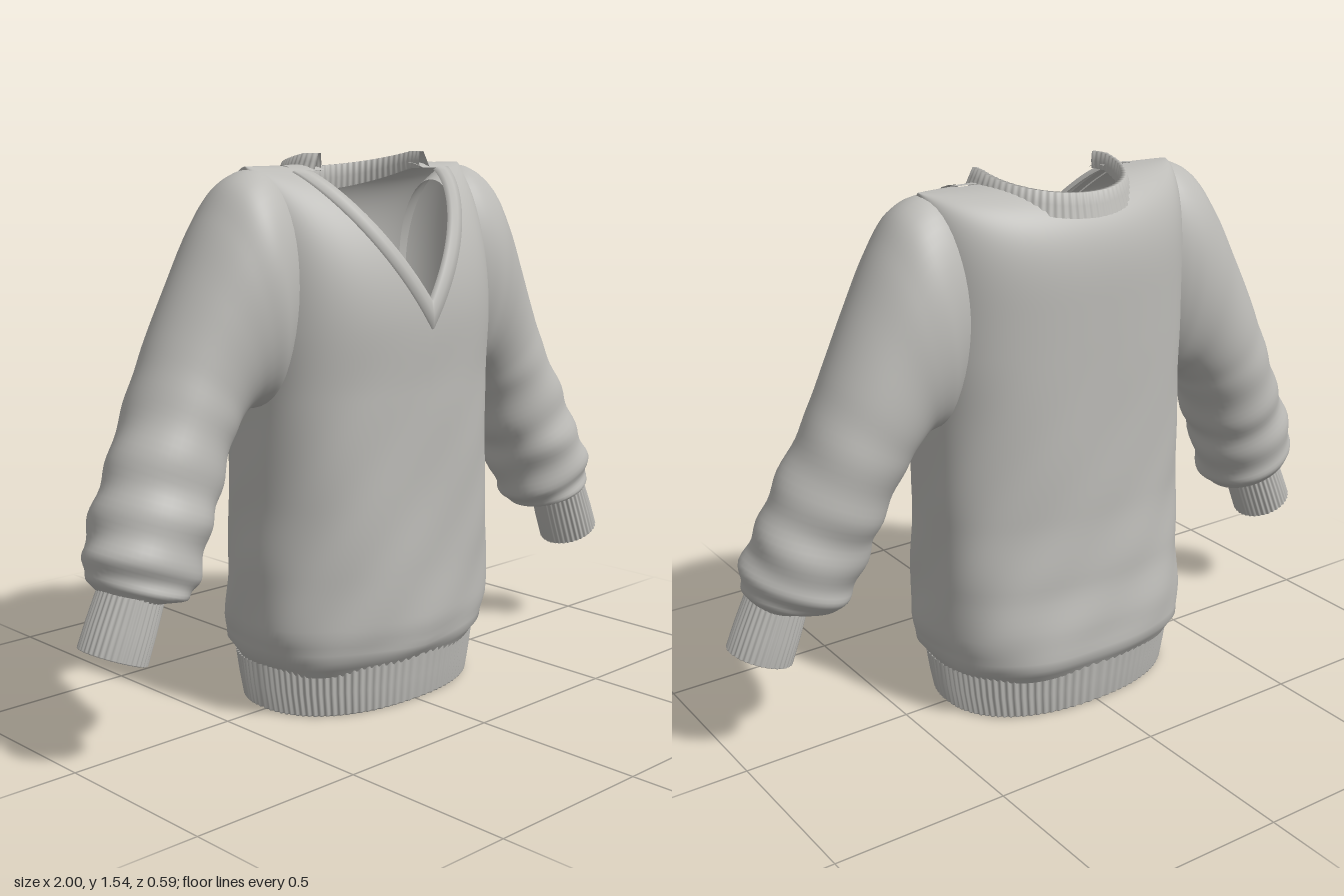
import * as THREE from 'three';

const { sin, cos, abs, sqrt, pow, min, max, PI } = Math;
const wool = new THREE.MeshStandardMaterial({ color: 0xbcbbb7, side: THREE.DoubleSide });
wool.name = 'grey wool';

// Smooth surface from fn(u, v) -> [x, y, z]; closed joins the last column to the first.
function surface(name, fn, nu, nv, closed = false) {
  const pos = [], idx = [], cols = closed ? nu : nu + 1;
  for (let j = 0; j <= nv; j++)
    for (let i = 0; i < cols; i++) pos.push(...fn(i / nu, j / nv));
  for (let j = 0; j < nv; j++)
    for (let i = 0; i < nu; i++) {
      const a = j * cols + i, b = j * cols + (i + 1) % cols;
      idx.push(a, b, b + cols, a, b + cols, a + cols);
    }
  const geo = new THREE.BufferGeometry();
  geo.setAttribute('position', new THREE.Float32BufferAttribute(pos, 3));
  geo.setIndex(idx);
  geo.computeVertexNormals();
  const mesh = new THREE.Mesh(geo, wool);
  mesh.name = name;
  return mesh;
}

// Torso sections: height, half width, front depth, back depth
const SECTIONS = [
  [0.12, 0.37, 0.245, 0.26], [0.17, 0.402, 0.276, 0.29], [0.25, 0.418, 0.285, 0.285],
  [0.40, 0.415, 0.283, 0.265], [0.60, 0.408, 0.282, 0.252], [0.90, 0.405, 0.284, 0.25],
  [1.08, 0.41, 0.29, 0.25],
];
const RIDGE = 1.51;

function section(y) {
  const last = SECTIONS.length - 1;
  if (y >= SECTIONS[last][0]) return SECTIONS[last];
  let k = 0;
  while (k < last - 1 && y > SECTIONS[k + 1][0]) k++;
  const p = SECTIONS[k], q = SECTIONS[k + 1];
  const t = THREE.MathUtils.smoothstep(y, p[0], q[0]);
  return p.map((value, i) => value + (q[i] - value) * t);
}

const bulge = f => pow(max(0, 1 - pow(abs(f), 2.5)), 0.4);
const roundOff = (y, from, n) =>
  y <= from ? 1 : pow(max(0, 1 - pow((y - from) / (RIDGE - from), n)), 1 / n);
const frontZ = (x, y) => section(y)[2] * bulge(x / section(y)[1]) * roundOff(y, 1.08, 2);

// Height at which each torso column ends: the V in front, a round neck at the back
function columnTop(f, isFront) {
  const x = abs(f) * 0.41;
  if (isFront) return min(RIDGE, 1.1 + 1.45 * x);
  if (x >= 0.2) return RIDGE;
  const c = min(1, sqrt(0.04 - x * x) / (0.25 * bulge(f)));
  return 1.2 + (RIDGE - 1.2) * pow(1 - c ** 3, 1 / 3);
}

function torso() {
  return surface('torso', (u, v) => {
    const th = u * 2 * PI, f = sin(th), isFront = cos(th) >= 0;
    const y = 0.12 + (columnTop(f, isFront) - 0.12) * sin(v * PI / 2);
    const [, a, zf, zb] = section(y);
    const z = bulge(f) * (isFront ? zf * roundOff(y, 1.08, 2) : -zb * roundOff(y, 1.2, 3));
    // soft folds, fading out towards the neck
    const fade = max(0, 1 - y / 1.1);
    const fold = 1 + fade * (0.012 * sin(th * 5 + y * 7) + 0.008 * sin(th * 9 - y * 22));
    return [a * f * fold, y, z * fold];
  }, 144, 90, true);
}

// Ribbed tube round the bottom: inside top, inside bottom, outside bottom, outside top
function hem() {
  const rows = [[0.14, 0.36, 0.235], [0.0, 0.342, 0.228], [0.0, 0.36, 0.243],
    [0.005, 0.365, 0.247], [0.07, 0.378, 0.253], [0.14, 0.388, 0.26]];
  return surface('ribbedHem', (u, v) => {
    const [y, a, d] = rows[Math.round(v * 5)];
    const th = u * 2 * PI, c = cos(th), s = sin(th);
    const k = 1 + 0.01 * sin(th * 96);
    return [a * k * Math.sign(s) * pow(abs(s), 0.88), y,
      d * k * Math.sign(c) * pow(abs(c), 0.88) - 0.005];
  }, 480, 5, true);
}

// Sleeve outline: upper edge (x, y, centre z) and lower edge (x, y, half depth)
const curve = list => new THREE.CatmullRomCurve3(list.map(p => new THREE.Vector3(...p)));
const UPPER = curve([
  [0.30, 1.46, 0], [0.39, 1.503, 0], [0.47, 1.475, 0], [0.54, 1.385, -0.005], [0.62, 1.24, -0.01],
  [0.70, 1.08, -0.015], [0.767, 0.936, -0.01], [0.84, 0.80, 0.005], [0.90, 0.68, 0.02],
  [0.945, 0.58, 0.03], [0.95, 0.51, 0.035], [0.925, 0.46, 0.05],
]);
const LOWER = curve([
  [0.30, 0.98, 0.13], [0.36, 0.89, 0.165], [0.385, 0.87, 0.18], [0.41, 0.868, 0.175],
  [0.432, 0.867, 0.163], [0.46, 0.85, 0.155], [0.505, 0.79, 0.152], [0.56, 0.67, 0.15],
  [0.605, 0.57, 0.148], [0.65, 0.46, 0.145], [0.69, 0.415, 0.13], [0.78, 0.425, 0.09],
]);

function sleeve(side) {
  return surface('sleeve', (u, v) => {
    const al = u * 2 * PI, p = UPPER.getPoint(v), q = LOWER.getPoint(v);
    // creases gather towards the wrist
    const fade = v > 0.45 ? min(1, (v - 0.45) * 4) * min(1, (1 - v) * 12) : 0;
    const k = 1 + fade * (0.035 * sin(v * 62 + 1.5 * sin(al)) + 0.02 * sin(al * 3 + v * 30));
    const c = 0.5 * cos(al) * k;
    return [side * ((p.x + q.x) / 2 + c * (p.x - q.x)), (p.y + q.y) / 2 + c * (p.y - q.y),
      p.z + side * side * q.z * k * sin(al) * 1];
  }, 48, 72, true);
}

// Ribbed cuff: rows of position along the cuff and ring scale, outside then inside
function cuff(side) {
  const rows = [[-0.05, 0.97], [0.5, 1], [0.98, 1], [1, 0.95], [1, 0.86], [0, 0.84]];
  return surface('ribbedCuff', (u, v) => {
    const [t, s] = rows[Math.round(v * 5)];
    const al = u * 2 * PI, k = s * (1 + 0.022 * sin(al * 36));
    const c = cos(al) * k, mix = THREE.MathUtils.lerp;
    return [side * (mix(0.855, 0.915, t) + c * 0.084), mix(0.447, 0.3, t) + c * mix(0.024, 0.034, t),
      0.057 + 0.091 * k * sin(al)];
  }, 180, 5, true);
}

// Raised band along the V: rows go from the outer edge across to the inner edge
function neckBand() {
  const rows = [[0, -0.004], [0.04, 0.008], [0.5, 0.011], [0.96, 0.008], [1, -0.008]];
  return surface('neckBand', (u, v) => {
    const [w, lift] = rows[Math.round(v * 4)];
    const t = u * 2 - 1, x = t * (0.3 - 0.055 * w);
    const y = 1.07 + 0.08 * w + abs(t) * (0.425 - 0.08 * w);
    return [x, y + lift * 0.5 * abs(t), frontZ(x, y) + lift];
  }, 80, 4);
}

// Small flap joining the shoulder seam to the collar and band
function shoulderTab(side) {
  return surface('shoulderTab', (u, v) => {
    const x = side * 0.24 + (u - 0.5) * 0.1, z = 0.068 * (1 - v);
    const d = 0.29 * bulge(x / 0.41);
    return [x, 1.08 + 0.432 * sqrt(1 - (z / d) ** 2), z];
  }, 8, 8);
}

// Ribbed collar round the back of the neck, standing highest at its two ends
function collar() {
  const rows = [[0.232, 0], [0.222, 0.5], [0.212, 1], [0.2, 1], [0.197, 0.4], [0.2, -0.1]];
  return surface('ribbedCollar', (u, v) => {
    const [r, h] = rows[Math.round(v * 5)];
    const th = PI * (0.41 + 1.18 * u), rise = min(1, (1 + cos(th)) * 0.95);
    const k = r + 0.0015 * sin(u * 2 * PI * 42);
    const low = 1.435 + 0.065 * rise, high = 1.5 + 0.043 * rise;
    return [k * sin(th), low + (high - low) * h, k * cos(th)];
  }, 240, 5);
}

export function createModel() {
  const sweater = new THREE.Group();
  sweater.name = 'sweater';
  sweater.add(torso(), hem(), neckBand(), collar());
  for (const side of [1, -1]) {
    const arm = new THREE.Group();
    arm.name = side > 0 ? 'leftSleeve' : 'rightSleeve';
    arm.add(sleeve(side), cuff(side), shoulderTab(side));
    sweater.add(arm);
  }
  return sweater;
}
